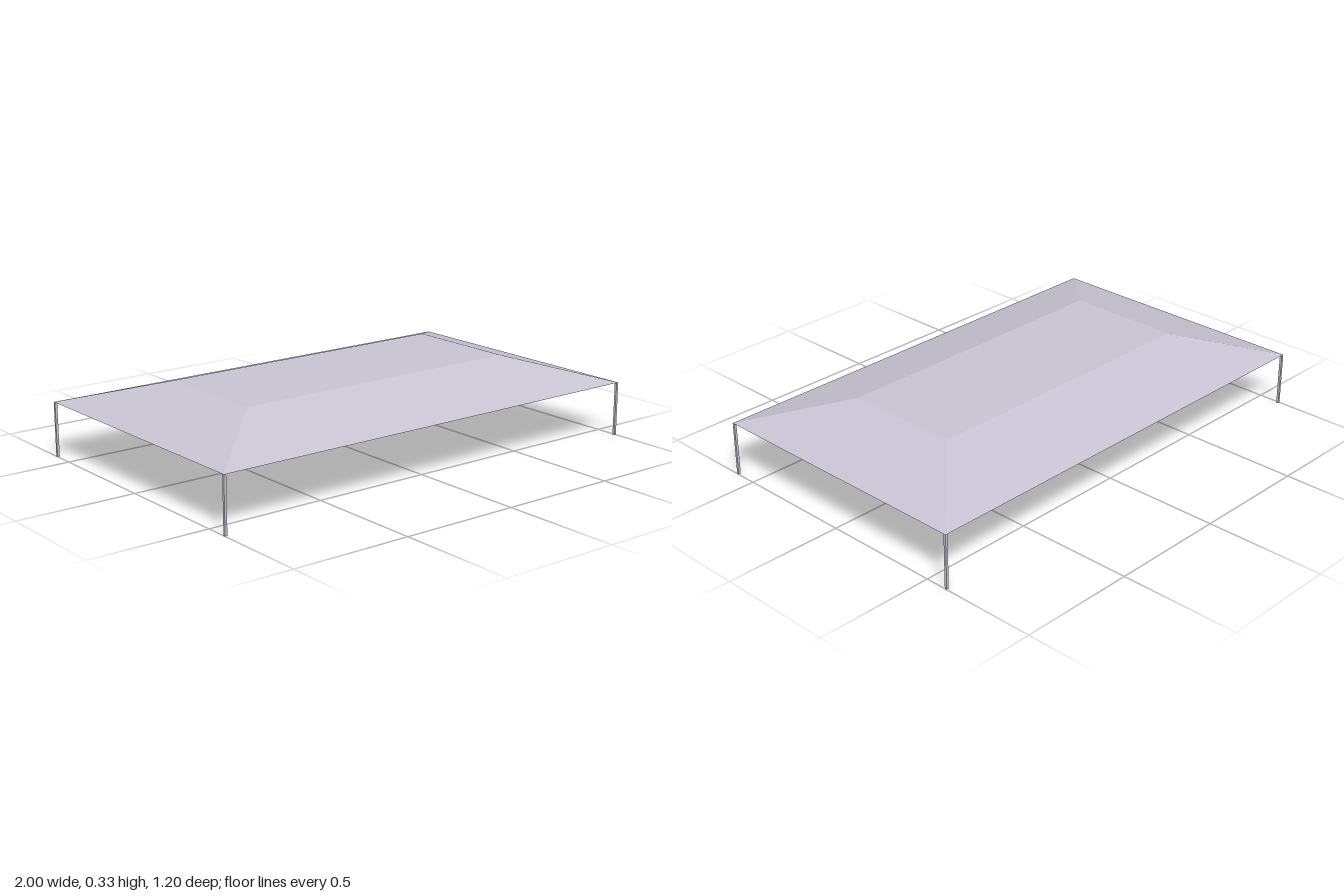
import * as THREE from 'three';

const EAVE = 0.228, RIDGE = 0.333; // heights of the roof's lower and upper edges
const HALF_X = 1, HALF_Z = 0.6, INSET = 0.35, POST = 0.01;

export function createModel() {
  const model = new THREE.Group();
  model.name = 'canopy';
  const paleLilac = new THREE.MeshStandardMaterial({ color: 0xc8c3d2 });
  paleLilac.name = 'paleLilac';

  // Hipped roof with a flat top: a box whose upper corners are drawn inward
  const roofGeometry = new THREE.BoxGeometry(HALF_X * 2, RIDGE - EAVE, HALF_Z * 2);
  const pos = roofGeometry.attributes.position;
  for (let i = 0; i < pos.count; i++) {
    if (pos.getY(i) < 0) continue;
    pos.setX(i, Math.sign(pos.getX(i)) * (HALF_X - INSET));
    pos.setZ(i, Math.sign(pos.getZ(i)) * (HALF_Z - INSET));
  }
  roofGeometry.computeVertexNormals();
  const roof = new THREE.Mesh(roofGeometry, paleLilac);
  roof.name = 'roof';
  roof.position.y = (EAVE + RIDGE) / 2;
  model.add(roof);

  // Slim square posts at the four corners
  const postGeometry = new THREE.BoxGeometry(POST, EAVE, POST);
  for (const [sx, xName] of [[1, 'Left'], [-1, 'Right']]) {
    for (const [sz, zName] of [[1, 'front'], [-1, 'back']]) {
      const post = new THREE.Mesh(postGeometry, paleLilac);
      post.name = `${zName}${xName}Post`;
      post.position.set(sx * (HALF_X - POST / 2), EAVE / 2, sz * (HALF_Z - POST / 2));
      model.add(post);
    }
  }
  return model;
}
